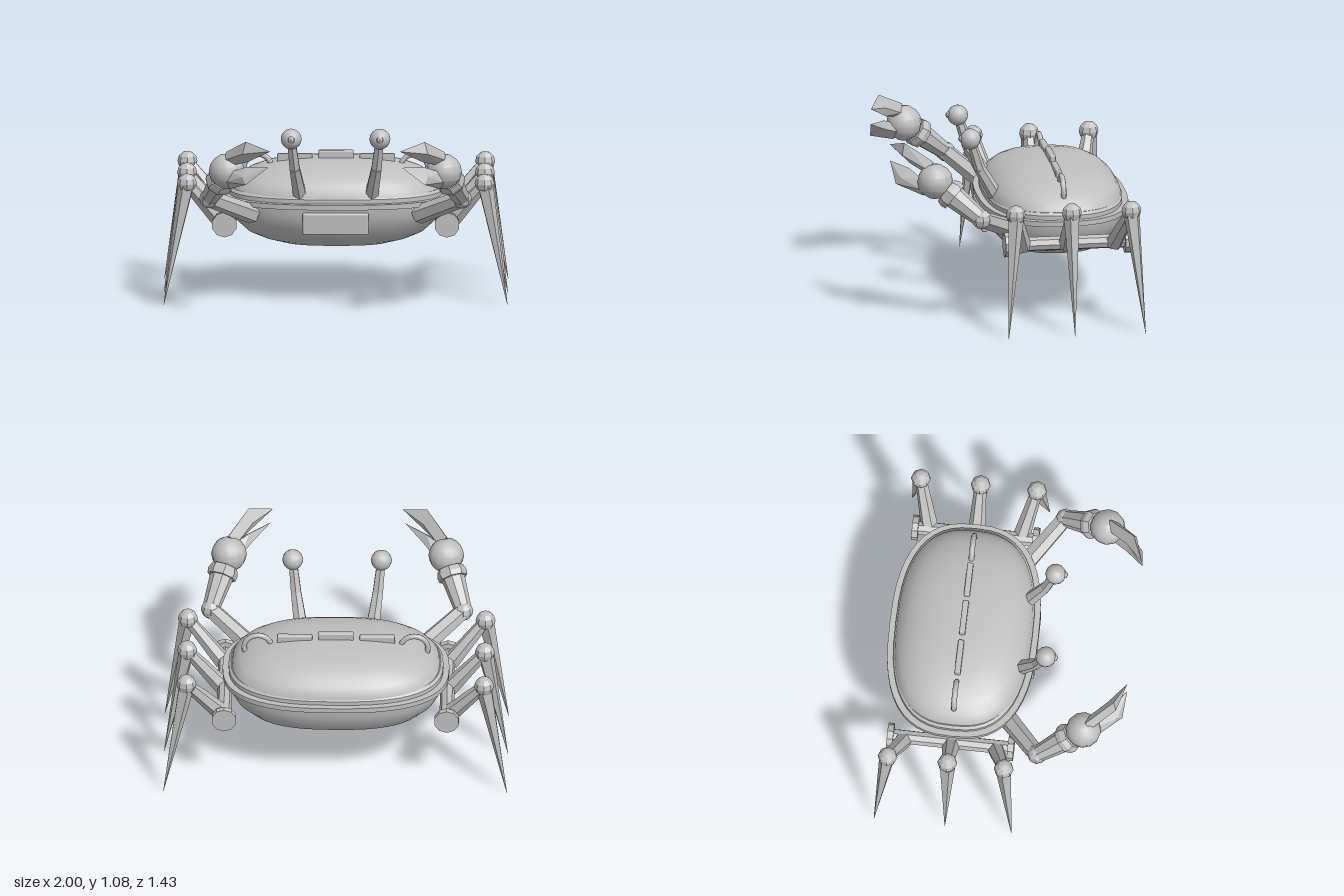
import * as THREE from 'three';
import { toCreasedNormals } from 'three/addons/utils/BufferGeometryUtils.js';
import { RoundedBoxGeometry } from 'three/addons/geometries/RoundedBoxGeometry.js';
import { ConvexGeometry } from 'three/addons/geometries/ConvexGeometry.js';

const CZ = -0.285; // body centre in z
const V = (x, y, z) => new THREE.Vector3(x, y, z);

// Superellipse outline lofted through [halfX, halfZ, y] sections, bottom to top
function loft(sections, closed) {
  const N = 48, pos = [], idx = [];
  for (const [rx, rz, y] of sections) {
    for (let i = 0; i < N; i++) {
      const a = (i / N) * Math.PI * 2, c = Math.cos(a), s = Math.sin(a), e = 2 / 2.6;
      pos.push(rx * Math.sign(c) * Math.abs(c) ** e, y, CZ + rz * Math.sign(s) * Math.abs(s) ** e);
    }
  }
  const rows = sections.length;
  for (let r = 0; r < (closed ? rows : rows - 1); r++) {
    for (let i = 0; i < N; i++) {
      const j = (i + 1) % N, a = r * N, b = ((r + 1) % rows) * N;
      idx.push(a + i, b + i, b + j, a + i, b + j, a + j);
    }
  }
  if (!closed) { // centre fans
    const c = pos.length / 3, t = (rows - 1) * N;
    pos.push(0, sections[0][2], CZ, 0, sections[rows - 1][2], CZ);
    for (let i = 0; i < N; i++) {
      const j = (i + 1) % N;
      idx.push(c, i, j, c + 1, t + j, t + i);
    }
  }
  const g = new THREE.BufferGeometry();
  g.setAttribute('position', new THREE.Float32BufferAttribute(pos, 3));
  g.setIndex(idx);
  return toCreasedNormals(g, 0.65);
}

// Tapered faceted rod from a to b
function rod(a, b, r0, r1, sides = 6) {
  const d = b.clone().sub(a);
  const g = new THREE.CylinderGeometry(r1, r0, d.length(), sides);
  g.applyQuaternion(new THREE.Quaternion().setFromUnitVectors(V(0, 1, 0), d.normalize()));
  const m = a.clone().add(b).multiplyScalar(0.5);
  g.translate(m.x, m.y, m.z);
  return toCreasedNormals(g, 0.3);
}

function ball(p, r, w = 8, h = 6, crease = 0.3) {
  const g = toCreasedNormals(new THREE.SphereGeometry(r, w, h), crease);
  return g.translate(p.x, p.y, p.z);
}

export function createModel() {
  const grey = new THREE.MeshStandardMaterial({ color: 0xbfbfbf });
  grey.name = 'shell grey';
  const model = new THREE.Group();
  model.name = 'crab';
  const group = (name) => {
    const g = new THREE.Group();
    g.name = name;
    model.add(g);
    return g;
  };
  const add = (name, geo, parent = model) => {
    const m = new THREE.Mesh(geo, grey);
    m.name = name;
    parent.add(m);
    return m;
  };

  // Hull, rim and domed shell
  const sec = (s, y) => [0.645 * s, 0.42 * s, y];
  add('belly', loft([[0.49, 0.315], [0.66, 0.345], [0.8, 0.385], [0.91, 0.45], [0.97, 0.52], [0.98, 0.58]].map((p) => sec(...p))));
  add('rim', loft([[0.58, 0.355, 0.57], [0.66, 0.435, 0.57], [0.66, 0.435, 0.6], [0.58, 0.355, 0.6]], true));
  add('shellBand', loft([[0.625, 0.4, 0.59], [0.625, 0.4, 0.625], [0.61, 0.387, 0.64]]));
  add('shell', loft([[0.945, 0.62], [0.93, 0.655], [0.87, 0.695], [0.78, 0.73], [0.66, 0.76], [0.5, 0.782], [0.3, 0.796], [0.12, 0.8]].map((p) => sec(...p))));

  // Row of ridge blocks ending in two arches
  const ridge = group('ridge');
  for (const [x, y] of [[-0.24, 0.785], [0, 0.805], [0.24, 0.785]]) {
    add('ridgeBlock', new RoundedBoxGeometry(0.205, 0.075, 0.035, 2, 0.008), ridge).position.set(x, y, CZ);
  }
  for (const s of [-1, 1]) {
    add('ridgeArch', new THREE.TorusGeometry(0.08, 0.016, 8, 20), ridge).position.set(s * 0.455, 0.738, CZ);
  }

  // Plate on the front
  add('frontPlate', new RoundedBoxGeometry(0.385, 0.13, 0.035, 2, 0.012)).position.set(0, 0.485, 0.128);

  for (const s of [-1, 1]) {
    const side = s > 0 ? 'left' : 'right';
    const P = (x, y, z) => V(s * x, y, z);

    // Rail carrying the legs
    const rail = group(side + 'Rail');
    add('railBar', rod(P(0.648, 0.47, -0.63), P(0.648, 0.47, 0.045), 0.042, 0.042, 8), rail);
    for (const z of [-0.66, 0.045]) {
      add('railCap', rod(P(0.648, 0.47, z), P(0.648, 0.47, z + 0.036), 0.074, 0.074, 10), rail);
    }

    // Three legs
    for (const [hip, knee, tip] of [[-0.025, 0.045, 0.105], [CZ, CZ, CZ], [-0.56, -0.635, -0.7]]) {
      const leg = group(side + 'Leg');
      const k = P(0.866, 0.71, knee);
      add('thigh', rod(P(0.66, 0.46, hip), k, 0.052, 0.034), leg);
      add('knee', ball(k, 0.058), leg);
      add('shin', rod(k, P(1, 0, tip), 0.05, 0.001, 5), leg);
    }

    // Eye on a bent stalk
    const eye = group(side + 'Eye');
    const bend = P(0.238, 0.82, 0.165), top = P(0.258, 1.008, 0.223);
    add('stalkBase', rod(P(0.205, 0.62, 0.05), bend, 0.045, 0.034), eye);
    add('stalkTop', rod(bend, top, 0.034, 0.027), eye);
    add('eyeball', ball(top, 0.061, 12, 8, 0.6), eye);
    add('pupil', ball(P(0.258, 1.012, 0.273), 0.022), eye);

    // Claw arm
    const arm = group(side + 'Claw');
    const elbow = P(0.735, 0.655, 0.225), palm = P(0.632, 0.868, 0.485);
    const along = (t) => elbow.clone().lerp(palm, t);
    add('upperArm', rod(P(0.48, 0.52, 0.02), elbow, 0.057, 0.05), arm);
    add('elbow', ball(elbow, 0.058), arm);
    add('forearm', rod(elbow, along(0.68), 0.05, 0.072, 8), arm);
    add('wristRing', rod(along(0.58), along(0.67), 0.085, 0.09, 8), arm);
    add('wristCollar', rod(along(0.67), along(0.76), 0.09, 0.078, 8), arm);
    add('palm', ball(palm, 0.104, 12, 8, 0.6), arm);

    // Pincers: base ring, bend ring and point
    const pincer = (name, base, mid, point) => {
      add(name + 'Base', new ConvexGeometry([...base, ...mid]), arm);
      add(name + 'Tip', new ConvexGeometry([...mid, point]), arm);
    };
    pincer('upperPincer',
      [P(0.635, 0.985, 0.495), P(0.61, 0.91, 0.53), P(0.58, 0.94, 0.5), P(0.65, 0.94, 0.53)],
      [P(0.52, 1.075, 0.65), P(0.515, 0.945, 0.61), P(0.495, 1.0, 0.61), P(0.54, 1.005, 0.665)],
      P(0.378, 1.03, 0.715));
    pincer('lowerPincer',
      [P(0.61, 0.88, 0.56), P(0.61, 0.778, 0.55), P(0.565, 0.83, 0.52), P(0.645, 0.82, 0.56)],
      [P(0.515, 0.92, 0.62), P(0.52, 0.83, 0.7), P(0.495, 0.87, 0.61), P(0.54, 0.87, 0.675)],
      P(0.39, 0.935, 0.715));
  }
  return model;
}
